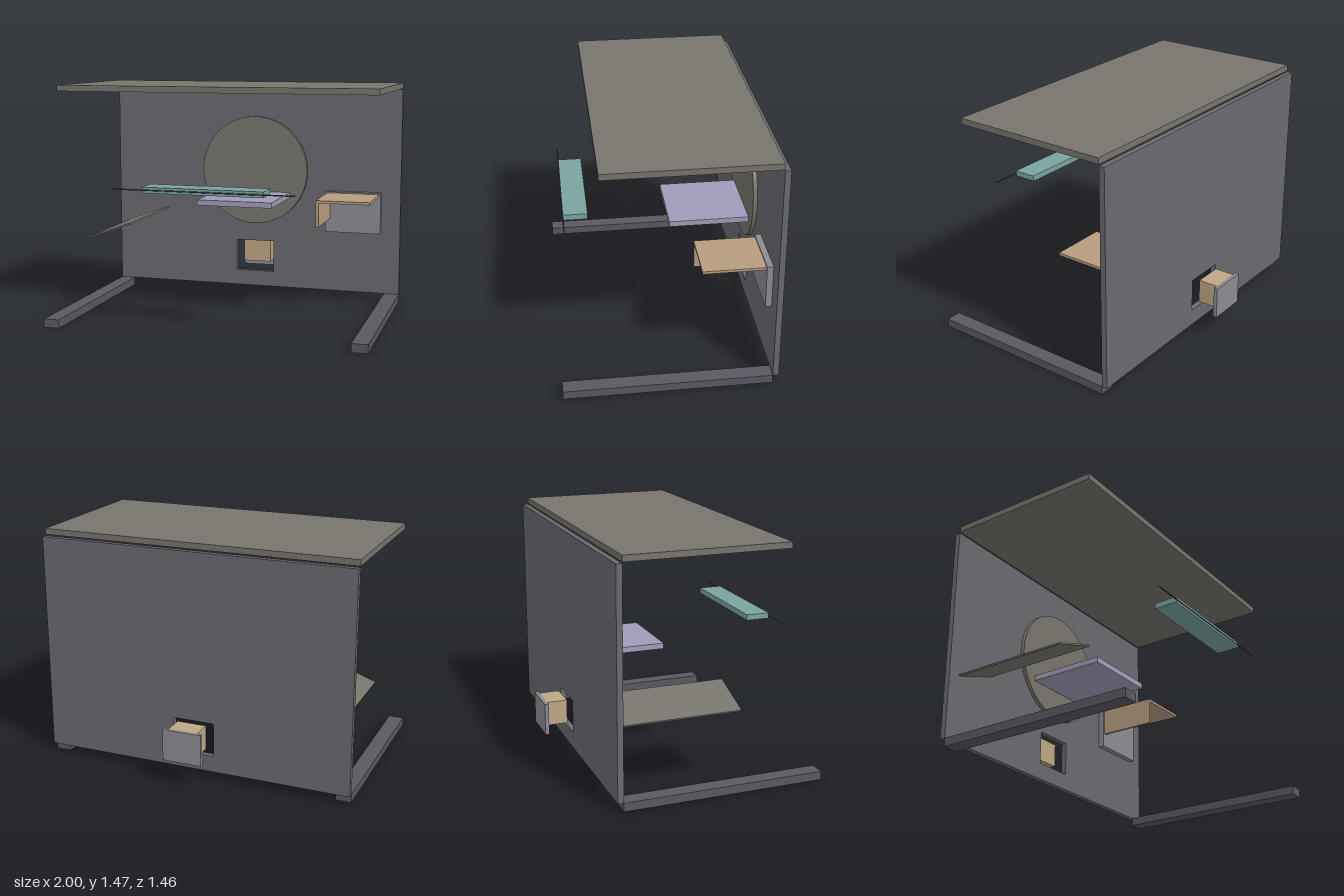
import * as THREE from 'three';

const COLORS = {
  frame: 0x6a696f, foot: 0x5a5860, roof: 0x77746c, plate: 0x8c8b92,
  wood: 0xb79d80, box: 0xbda684, teal: 0x7aa3a0, lavender: 0xa29bb8, rod: 0x444448,
};

function makeMesh(name, geometry, color) {
  const mesh = new THREE.Mesh(geometry, new THREE.MeshStandardMaterial({ color }));
  mesh.name = name;
  return mesh;
}

// Box given by its [min, max] range on each axis
function slab(name, color, [x0, x1], [y0, y1], [z0, z1]) {
  const mesh = makeMesh(name, new THREE.BoxGeometry(x1 - x0, y1 - y0, z1 - z0), color);
  mesh.position.set((x0 + x1) / 2, (y0 + y1) / 2, (z0 + z1) / 2);
  return mesh;
}

// Upright panel with a rectangular hatch opening
function backPanel() {
  const rect = (P, x0, x1, y0, y1) => {
    const p = new P();
    p.moveTo(x0, y0).lineTo(x1, y0).lineTo(x1, y1).lineTo(x0, y1).closePath();
    return p;
  };
  const shape = rect(THREE.Shape, -1, 1, 0.053, 1.427);
  shape.holes.push(rect(THREE.Path, -0.133, 0.13, 0.158, 0.372));
  const geometry = new THREE.ExtrudeGeometry(shape, { depth: 0.036, bevelEnabled: false });
  const mesh = makeMesh('backPanel', geometry, COLORS.frame);
  mesh.position.z = -0.556;
  return mesh;
}

export function createModel() {
  const model = new THREE.Group();
  model.name = 'playPanel';

  // Frame: panel, roof and two long feet
  model.add(backPanel());
  model.add(slab('roof', COLORS.roof, [-1, 1], [1.434, 1.471], [-0.52, 0.482]));
  for (const [name, x0] of [['leftFoot', 0.902], ['rightFoot', -1]]) {
    model.add(slab(name, COLORS.foot, [x0, x0 + 0.098], [0, 0.053], [-0.52, 0.732]));
  }

  // Round disc on the panel
  const disc = makeMesh('disc', new THREE.CylinderGeometry(0.368, 0.368, 0.026, 64), COLORS.roof);
  disc.rotation.x = Math.PI / 2;
  disc.position.set(0, 0.866, -0.507);
  model.add(disc);

  // Shelf reaching out from the disc
  model.add(slab('shelf', COLORS.lavender, [-0.25, 0.25], [0.684, 0.72], [-0.495, 0.007]));

  // Front bar with its thin axle
  model.add(slab('frontBar', COLORS.teal, [-0.372, 0.372], [0.848, 0.884], [0.519, 0.668]));
  const axle = makeMesh('axle', new THREE.CylinderGeometry(0.004, 0.004, 1.12, 12), COLORS.rod);
  axle.rotation.z = Math.PI / 2;
  axle.position.set(0, 0.866, 0.668);
  model.add(axle);

  // Sloping side ramp
  const ramp = makeMesh('ramp', new THREE.BoxGeometry(0.3, 0.011, 0.752), COLORS.roof);
  ramp.rotation.z = THREE.MathUtils.degToRad(19.5);
  ramp.position.set(-0.777, 0.528, -0.144);
  model.add(ramp);

  // Side bracket: mounting plate with an L-shaped ledge
  const bracket = new THREE.Group();
  bracket.name = 'sideBracket';
  bracket.add(
    slab('bracketPlate', COLORS.plate, [0.5, 0.873], [0.465, 0.74], [-0.52, -0.482]),
    slab('bracketTop', COLORS.wood, [0.513, 0.861], [0.714, 0.731], [-0.482, -0.106]),
    slab('bracketSide', COLORS.wood, [0.513, 0.531], [0.557, 0.714], [-0.482, -0.106]),
  );
  model.add(bracket);

  // Hatch block behind the opening
  const hatch = new THREE.Group();
  hatch.name = 'hatch';
  hatch.add(
    slab('hatchBlock', COLORS.box, [-0.096, 0.092], [0.214, 0.365], [-0.708, -0.582]),
    slab('hatchPlate', COLORS.plate, [-0.127, 0.123], [0.165, 0.365], [-0.732, -0.708]),
  );
  model.add(hatch);

  return model;
}
